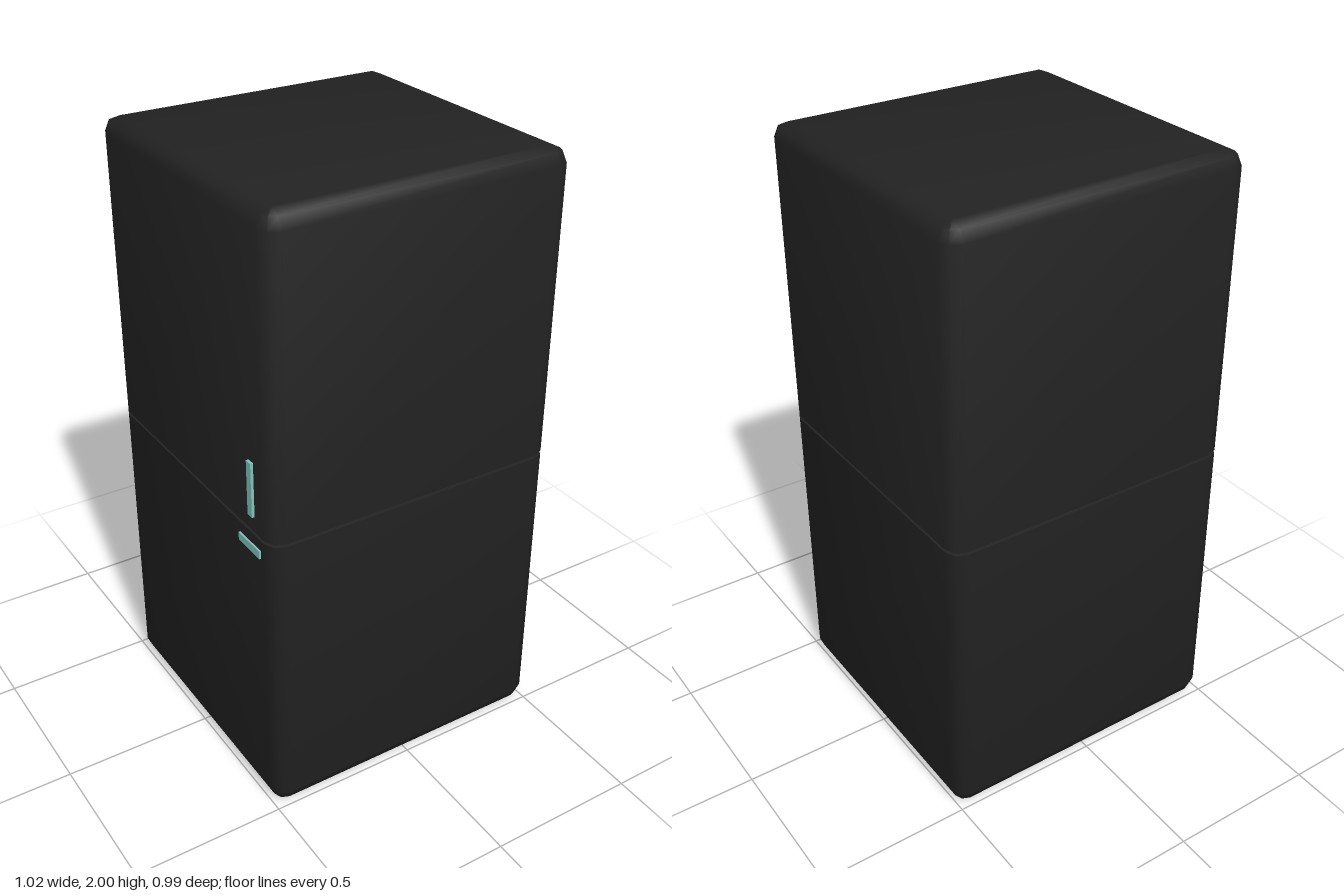
import * as THREE from 'three';
import { toCreasedNormals } from 'three/addons/utils/BufferGeometryUtils.js';

const HX = 0.503, HZ = 0.497, R = 0.05, MID = R * (1 - Math.SQRT1_2);

// Rounded-rectangle ring at height y, shrunk by inset (two facets per corner)
function ring(y, inset) {
  const r = R - inset, pts = [];
  [[1, 1], [-1, 1], [-1, -1], [1, -1]].forEach(([sx, sz], k) => {
    for (let i = 0; i <= 2; i++) {
      const a = (k + i / 2) * Math.PI / 2;
      pts.push([sx * (HX - R) + r * Math.cos(a), y, sz * (HZ - R) + r * Math.sin(a)]);
    }
  });
  return pts;
}

// Loft through [height, inset] rings, closed at both ends
function loft(profile) {
  const n = 12, pos = profile.flatMap(([y, inset]) => ring(y, inset)).flat(), index = [];
  for (let j = 0; j < profile.length - 1; j++) {
    for (let i = 0; i < n; i++) {
      const a = j * n + i, b = j * n + (i + 1) % n;
      index.push(a, a + n, b, b, a + n, b + n);
    }
  }
  const top = (profile.length - 1) * n;
  for (let i = 1; i < n - 1; i++) {
    index.push(0, i, i + 1, top, top + i + 1, top + i);
  }
  const geo = new THREE.BufferGeometry();
  geo.setAttribute('position', new THREE.Float32BufferAttribute(pos, 3));
  geo.setIndex(index);
  return toCreasedNormals(geo, 0.9);
}

export function createModel() {
  const group = new THREE.Group();
  const dark = new THREE.MeshStandardMaterial({ color: 0x222222 });
  const teal = new THREE.MeshStandardMaterial({ color: 0x80c4bb });

  // Cabinet with bevelled ends and a thin seam between the two compartments
  const cabinet = new THREE.Mesh(loft([
    [0, R], [MID, MID], [R, 0],
    [0.995, 0], [0.997, 0.012], [1.003, 0.012], [1.005, 0],
    [2 - R, 0], [2 - MID, MID], [2, R],
  ]), dark);
  cabinet.name = 'cabinet';
  cabinet.position.x = 0.004;
  group.add(cabinet);

  // Slim handles: upright on the upper door, level on the lower one
  const addHandle = (name, out, y0, y1, z0, z1) => {
    const inner = -0.485;
    const mesh = new THREE.Mesh(new THREE.BoxGeometry(out + inner, y1 - y0, z1 - z0), teal);
    mesh.position.set((inner - out) / 2, (y0 + y1) / 2, (z0 + z1) / 2);
    mesh.name = name;
    group.add(mesh);
  };
  addHandle('upperHandle', 0.508, 1.06, 1.24, 0.375, 0.4);
  addHandle('lowerHandle', 0.505, 0.933, 0.96, 0.31, 0.43);

  return group;
}
